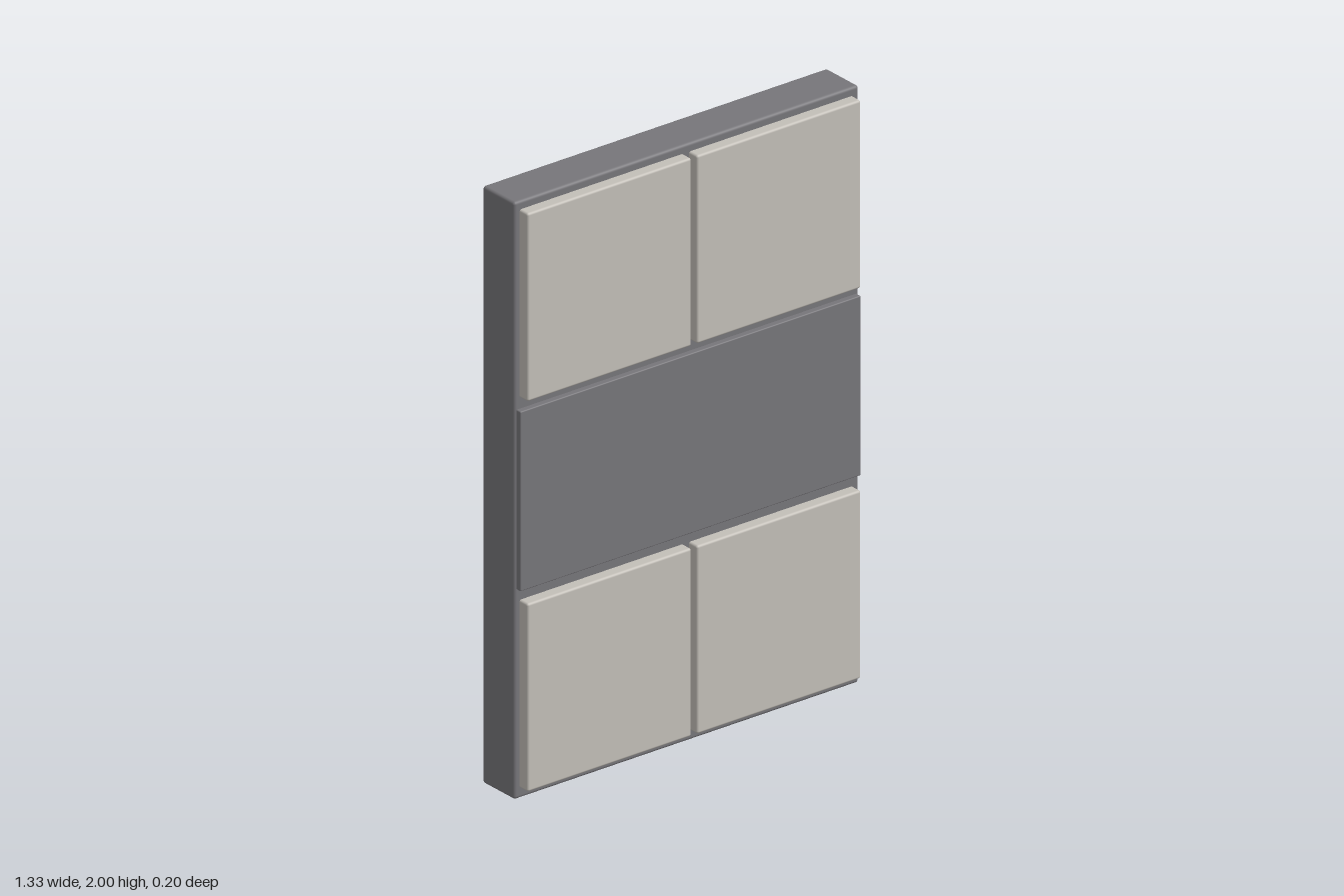
import * as THREE from 'three';
import { RoundedBoxGeometry } from 'three/addons/geometries/RoundedBoxGeometry.js';

export function createModel() {
  const group = new THREE.Group();
  group.name = 'wallPanel';

  const slate = new THREE.MeshStandardMaterial({ color: 0x77767a });
  slate.name = 'slate grey';
  const stone = new THREE.MeshStandardMaterial({ color: 0xc3bfb8 });
  stone.name = 'warm light grey';

  // Softly rounded box given by its extents on each axis
  function block(name, material, [x0, x1], [y0, y1], [z0, z1], radius) {
    const geometry = new RoundedBoxGeometry(x1 - x0, y1 - y0, z1 - z0, 3, radius);
    const mesh = new THREE.Mesh(geometry, material);
    mesh.name = name;
    mesh.position.set((x0 + x1) / 2, (y0 + y1) / 2, (z0 + z1) / 2);
    group.add(mesh);
  }

  // Backing slab
  block('backingSlab', slate, [-0.665, 0.665], [0, 2], [-0.098, 0.058], 0.01);

  // Raised middle band
  block('middleBand', slate, [-0.657, 0.657], [0.703, 1.305], [0.03, 0.078], 0.004);

  // Four raised square tiles, two above and two below the band
  for (const [row, y] of [['lower', [0.035, 0.665]], ['upper', [1.342, 1.972]]]) {
    block(row + 'RightTile', stone, [-0.645, -0.012], y, [0.03, 0.098], 0.008);
    block(row + 'LeftTile', stone, [0.009, 0.642], y, [0.03, 0.098], 0.008);
  }

  return group;
}
